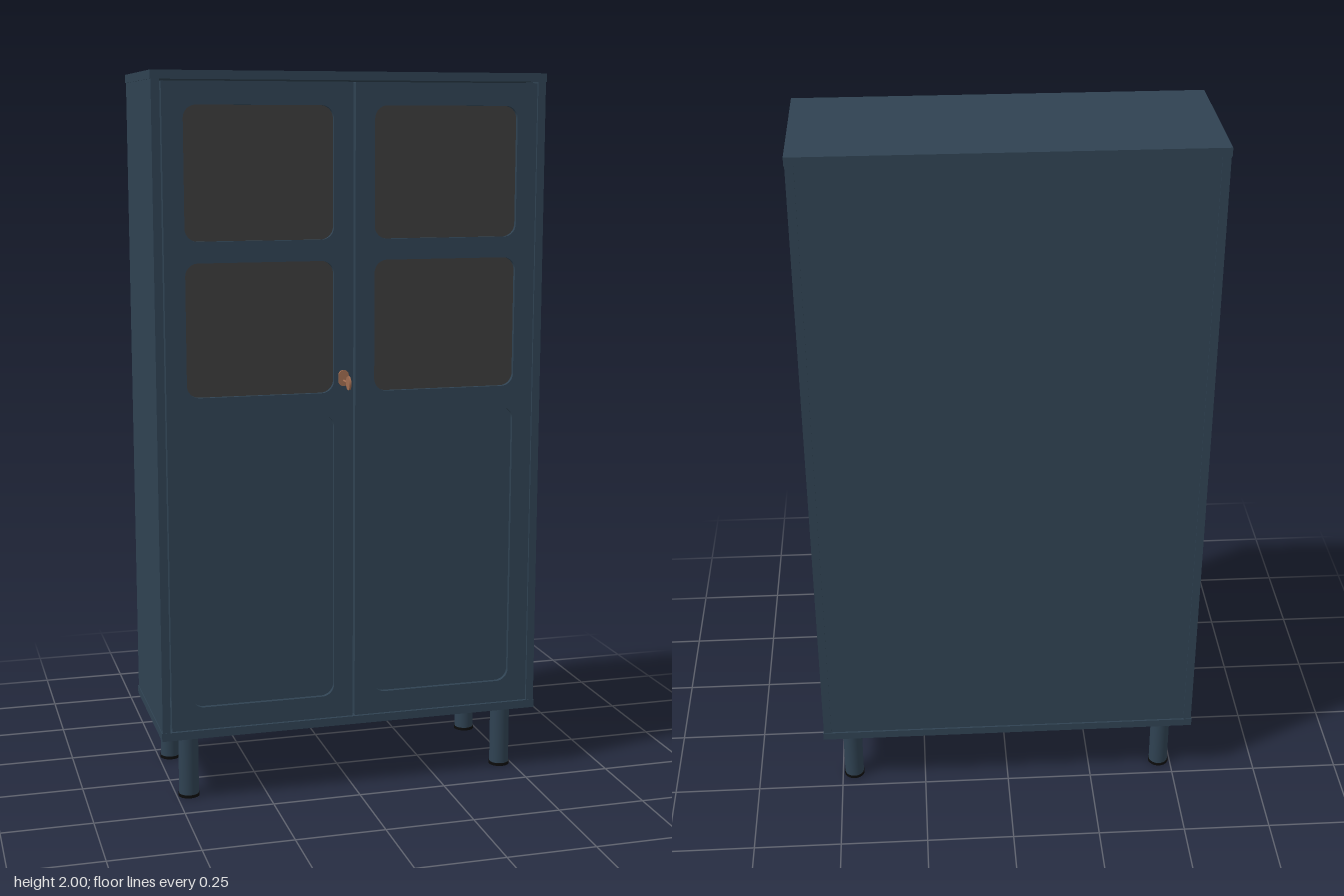
import * as THREE from 'three';

const paint = new THREE.MeshStandardMaterial({ color: 0x2f4252 });
const glass = new THREE.MeshStandardMaterial({ color: 0x3c3c3c });
const copper = new THREE.MeshStandardMaterial({ color: 0xa06c50 });
const black = new THREE.MeshStandardMaterial({ color: 0x0c0c0c });

// Rounded rectangle outline between two corners
function roundedRect(path, x0, y0, x1, y1, r) {
  path.moveTo(x0 + r, y0);
  path.lineTo(x1 - r, y0);
  path.absarc(x1 - r, y0 + r, r, -Math.PI / 2, 0);
  path.lineTo(x1, y1 - r);
  path.absarc(x1 - r, y1 - r, r, 0, Math.PI / 2);
  path.lineTo(x0 + r, y1);
  path.absarc(x0 + r, y1 - r, r, Math.PI / 2, Math.PI);
  path.lineTo(x0, y0 + r);
  path.absarc(x0 + r, y0 + r, r, Math.PI, Math.PI * 1.5);
  return path;
}

export function createModel() {
  const model = new THREE.Group();
  model.name = 'cabinet';

  const add = (name, geometry, material, x = 0, y = 0, z = 0, parent = model) => {
    const mesh = new THREE.Mesh(geometry, material);
    mesh.name = name;
    mesh.position.set(x, y, z);
    parent.add(mesh);
    return mesh;
  };
  // Box given by its limits on each axis
  const slab = (name, x0, x1, y0, y1, z0, z1, material = paint, parent = model) =>
    add(name, new THREE.BoxGeometry(x1 - x0, y1 - y0, z1 - z0), material,
      (x0 + x1) / 2, (y0 + y1) / 2, (z0 + z1) / 2, parent);

  // Carcass
  slab('topBoard', -0.548, 0.548, 1.977, 2, -0.255, 0.18);
  slab('bottomBoard', -0.548, 0.548, 0.185, 0.208, -0.255, 0.18);
  slab('leftSide', 0.524, 0.546, 0.208, 1.977, -0.253, 0.179);
  slab('rightSide', -0.546, -0.524, 0.208, 1.977, -0.253, 0.179);
  slab('backPanel', -0.524, 0.524, 0.208, 1.977, -0.25, -0.24);

  // Doors: a frame with three openings, two glazed and one panelled
  const openings = [[0.275, 1.08], [1.14, 1.5], [1.557, 1.912]];
  for (const side of [1, -1]) {
    const door = new THREE.Group();
    door.name = side > 0 ? 'leftDoor' : 'rightDoor';
    model.add(door);
    const [x0, x1] = side > 0 ? [0.003, 0.52] : [-0.52, -0.003];
    const [w0, w1] = side > 0 ? [0.057, 0.464] : [-0.464, -0.057];

    const outline = roundedRect(new THREE.Shape(), x0, 0.212, x1, 1.973, 0.002);
    for (const [y0, y1] of openings) {
      outline.holes.push(roundedRect(new THREE.Path(), w0, y0, w1, y1, 0.035));
    }
    const frame = new THREE.ExtrudeGeometry(outline, { depth: 0.024, bevelEnabled: false, curveSegments: 8 });
    add('doorFrame', frame, paint, 0, 0, 0.158, door);

    openings.forEach(([y0, y1], i) => {
      slab(i === 0 ? 'doorPanel' : 'windowPane', w0 - 0.01, w1 + 0.01, y0 - 0.01, y1 + 0.01,
        0.16, 0.17, i === 0 ? paint : glass, door);
    });
  }

  // Legs with thin black foot pads
  for (const x of [-0.465, 0.465]) {
    for (const z of [-0.19, 0.12]) {
      add('leg', new THREE.CylinderGeometry(0.028, 0.028, 0.177, 24), paint, x, 0.0965, z);
      add('footPad', new THREE.CylinderGeometry(0.03, 0.03, 0.008, 24), black, x, 0.004, z);
    }
  }

  // Key in its escutcheon on the right door
  const lock = new THREE.Group();
  lock.name = 'lock';
  lock.position.set(-0.031, 1.173, 0);
  model.add(lock);
  const plate = roundedRect(new THREE.Shape(), -0.014, -0.015, 0.014, 0.029, 0.0135);
  add('escutcheon', new THREE.ExtrudeGeometry(plate, { depth: 0.005, bevelEnabled: false }), copper, 0, 0, 0.182, lock);
  add('keyShaft', new THREE.CylinderGeometry(0.003, 0.003, 0.04, 12), copper, 0, 0, 0.203, lock).rotation.x = Math.PI / 2;
  add('keyBow', new THREE.CylinderGeometry(0.019, 0.019, 0.005, 24), copper, 0, 0, 0.236, lock).rotation.z = Math.PI / 2;

  return model;
}
